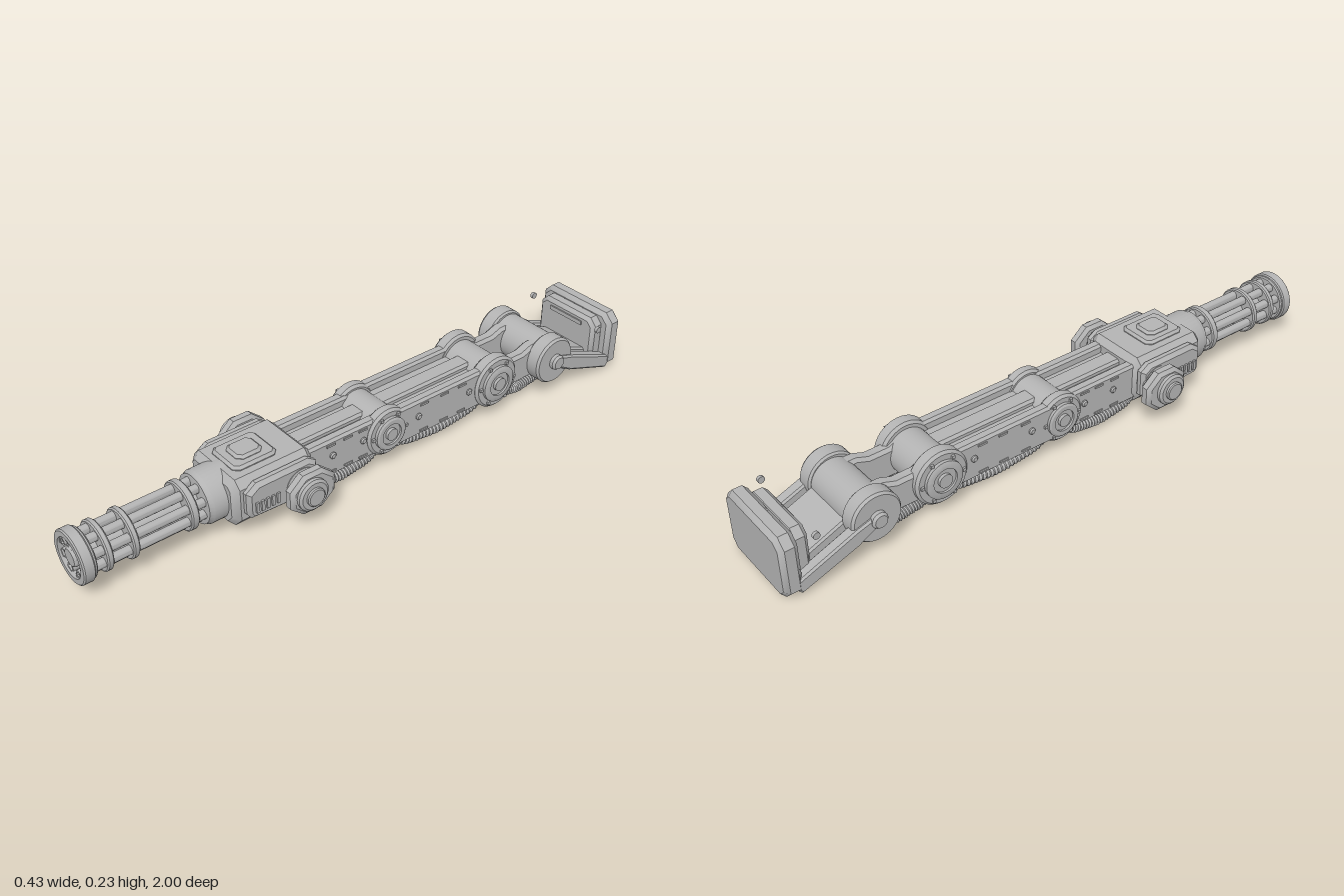
import * as THREE from 'three';
import { toCreasedNormals } from 'three/addons/utils/BufferGeometryUtils.js';

const AXIS_Y = 0.134; // height of the common centre line

export function createModel() {
  const root = new THREE.Group();
  const metal = new THREE.MeshStandardMaterial({ color: 0xb3b3b3 });
  metal.name = 'grey metal';

  const add = (name, geo, x = 0, y = 0, z = 0) => {
    const m = new THREE.Mesh(toCreasedNormals(geo, 0.55), metal);
    m.name = name;
    m.position.set(x, y, z);
    root.add(m);
    return m;
  };
  const both = (fn) => [1, -1].forEach(fn);
  const box = (name, w, h, d, x, y, z) => add(name, new THREE.BoxGeometry(w, h, d), x, y, z);
  const lathe = (pts, n) => new THREE.LatheGeometry(pts.map(([r, a]) => new THREE.Vector2(r, a)), n);
  // Turned part along z; profile is [radius, z]
  const turnZ = (name, pts, x, y, z, n = 32) => add(name, lathe(pts, n).rotateX(Math.PI / 2), x, y, z);
  // Turned part along x, pointing outward on side s; profile is [radius, x]
  const turnX = (name, pts, s, y, z, n = 32) => add(name, lathe(pts, n).rotateZ(-s * Math.PI / 2), 0, y, z);
  const poly = (pts) => new THREE.Shape(pts.map(([x, y]) => new THREE.Vector2(x, y)));
  // Outline in x, y extruded from z0 to z1 with bevelled ends
  const prism = (name, pts, z0, z1, b = 0.012) => add(name, new THREE.ExtrudeGeometry(poly(pts), {
    depth: z1 - z0 - 2 * b, bevelEnabled: b > 0, bevelThickness: b, bevelSize: b, bevelOffset: -b, bevelSegments: 1,
  }), 0, 0, z0 + b);
  // Outline in -z, y extruded across x0..x1
  const sidePlate = (name, pts, x0, x1, b = 0.006) => add(name, new THREE.ExtrudeGeometry(poly(pts), {
    depth: x1 - x0 - 2 * b, bevelEnabled: true, bevelThickness: b, bevelSize: b, bevelOffset: -b, bevelSegments: 1,
  }).rotateY(Math.PI / 2), x0 + b, 0, 0);
  // Rectangle with cut corners
  const cut = (w, y0, y1, c) => [[-w + c, y0], [w - c, y0], [w, y0 + c], [w, y1 - c],
    [w - c, y1], [-w + c, y1], [-w, y1 - c], [-w, y0 + c]];

  // Rotary barrels
  for (let i = 0; i < 8; i++) {
    const a = (i + 0.5) * Math.PI / 4;
    turnZ('barrel', [[0, 0.53], [0.0145, 0.53], [0.0145, 0.99], [0.009, 0.99], [0.009, 0.96], [0, 0.96]],
      Math.cos(a) * 0.055, AXIS_Y + Math.sin(a) * 0.055, 0, 12);
    const clip = box('muzzleClip', 0.014, 0.022, 0.012, Math.cos(a) * 0.064, AXIS_Y + Math.sin(a) * 0.064, 0.987);
    clip.rotation.z = a;
  }
  turnZ('barrelCore', [[0, 0.53], [0.03, 0.53], [0.03, 0.992], [0.026, 0.998], [0, 0.998]], 0, AXIS_Y, 0);
  const hoop = (name, z0, z1, ri, ro) => turnZ(name,
    [[ri, z0], [ro - 0.004, z0], [ro, z0 + 0.004], [ro, z1 - 0.004], [ro - 0.004, z1], [ri, z1], [ri, z0]], 0, AXIS_Y, 0, 40);
  hoop('muzzleRing', 0.964, 1, 0.062, 0.083);
  hoop('muzzleSpacer', 0.955, 0.968, 0, 0.078);
  [[0.905, 0.925], [0.825, 0.845], [0.635, 0.66]].forEach(([a, b]) => hoop('barrelClamp', a, b, 0, 0.077));
  turnZ('barrelMount', [[0, 0.5], [0.084, 0.5], [0.084, 0.59], [0.078, 0.6], [0.078, 0.605], [0.06, 0.608], [0, 0.608]], 0, AXIS_Y, 0, 40);

  // Gun housing
  prism('housing', [[-0.08, 0.048], [0.08, 0.048], [0.114, 0.085], [0.114, 0.19], [0.09, 0.215],
    [-0.09, 0.215], [-0.114, 0.19], [-0.114, 0.085]], 0.265, 0.545, 0.02);
  const hatch = (name, w, d, y0, y1) => {
    const b = 0.008;
    const g = new THREE.ExtrudeGeometry(poly(cut(w, -d, d, 0.016)), {
      depth: y1 - y0 - b, bevelEnabled: true, bevelThickness: b, bevelSize: b, bevelOffset: -b, bevelSegments: 1 });
    add(name, g.rotateX(-Math.PI / 2), 0, y0, 0.43);
  };
  hatch('topHatch', 0.066, 0.075, 0.21, 0.226);
  hatch('hatchLid', 0.04, 0.045, 0.222, 0.236);
  both((s) => {
    const x0 = s > 0 ? 0.1 : -0.138;
    sidePlate('sidePod', [[-0.5, 0.09], [-0.3, 0.08], [-0.27, 0.1], [-0.27, 0.185], [-0.3, 0.205], [-0.48, 0.205], [-0.515, 0.18], [-0.515, 0.11]], x0, x0 + 0.038, 0.012);
    for (let i = 0; i < 5; i++) box('ventFin', 0.008, 0.034, 0.01, s * 0.14, 0.13, 0.415 + i * 0.018);
    // Side drum
    turnX('drumAxle', [[0, 0.09], [0.055, 0.09], [0.055, 0.14], [0.035, 0.145], [0.035, 0.16], [0, 0.16]], s, AXIS_Y, 0.33);
    const drum = turnX('sideDrum', [[0, 0.15], [0.062, 0.15], [0.074, 0.16], [0.074, 0.18], [0.062, 0.19], [0, 0.19]], s, AXIS_Y - 0.002, 0.325, 8);
    drum.geometry.rotateX(Math.PI / 8);
    drum.scale.z = 1.15;
    turnX('drumCap', [[0, 0.185], [0.052, 0.185], [0.052, 0.2], [0.044, 0.206], [0.03, 0.206], [0.03, 0.213], [0.026, 0.216], [0, 0.216]], s, AXIS_Y, 0.335);
  });

  // Arm segments: side walls, recessed deck, centre rib and small fittings
  const segment = (name, z0, z1, w) => {
    const zc = (z0 + z1) / 2, d = z1 - z0;
    prism(name + 'Core', cut(w - 0.01, 0.075, 0.168, 0.012), z0, z1, 0.004);
    prism(name + 'Rib', cut(0.032, 0.15, 0.186, 0.008), z0, z1, 0.004);
    both((s) => {
      sidePlate(name + 'Wall', [[-z1, 0.068], [-z0, 0.068], [-z0, 0.196], [-z1, 0.196]],
        s > 0 ? w - 0.038 : -w, s > 0 ? w : -w + 0.038, 0.008);
      [0.18, 0.086].forEach((y) => [-0.18, 0, 0.2].forEach((k) => box('wallSlot', 0.006, 0.006, 0.032, s * w, y, zc + k * d)));
      [z0 + 0.1, z1 - 0.1].forEach((z) => turnX('wallBolt',
        [[0, w - 0.01], [0.011, w - 0.01], [0.011, w + 0.004], [0.007, w + 0.008], [0, w + 0.008]], s, 0.143, z, 12));
    });
  };
  segment('foreArm', -0.03, 0.285, 0.094);
  segment('upperArm', -0.45, -0.04, 0.104);

  // Joints: centre drum plus stepped outer discs
  const joint = (name, z, r, core, inner, outer) => {
    turnX(name + 'Drum', [[0, -inner], [core, -inner], [core, inner], [0, inner]], 1, AXIS_Y, z, 40);
    both((s) => {
      turnX(name + 'Disc', [[0, inner - 0.005], [r - 0.008, inner - 0.005], [r, inner + 0.003], [r, outer - 0.022], [r - 0.008, outer - 0.014],
        [r * 0.7, outer - 0.014], [r * 0.7, outer - 0.004], [r * 0.62, outer], [r * 0.45, outer], [r * 0.45, outer - 0.007],
        [r * 0.25, outer - 0.007], [r * 0.25, outer + 0.003], [0, outer + 0.003]], s, AXIS_Y, z, 40);
      for (let i = 0; i < 6; i++) {
        const a = i * Math.PI / 3;
        box('discBolt', 0.012, 0.01, 0.01, s * (outer - 0.013), AXIS_Y + Math.sin(a) * r * 0.8, z + Math.cos(a) * r * 0.8);
      }
    });
  };
  joint('elbow', -0.025, 0.08, 0.066, 0.068, 0.117);
  joint('shoulder', -0.465, 0.089, 0.07, 0.07, 0.127);

  // Rear fork and hinge
  both((s) => {
    sidePlate('forkArm', [[0.45, 0.07], [0.7, 0.075], [0.7, 0.19], [0.64, 0.19], [0.6, 0.175], [0.53, 0.175], [0.49, 0.196], [0.45, 0.196]],
      s > 0 ? 0.047 : -0.093, s > 0 ? 0.093 : -0.047, 0.01);
    turnX('hingeDisc', [[0, 0.085], [0.074, 0.085], [0.08, 0.091], [0.08, 0.134], [0.074, 0.142], [0, 0.142]], s, AXIS_Y, -0.7, 40);
    turnX('hingeKnob', [[0, 0.14], [0.026, 0.14], [0.026, 0.154], [0.02, 0.162], [0, 0.162]], s, AXIS_Y, -0.7, 16);
    // Sloping strut to the mounting plate
    sidePlate('rearStrut', [[0.69, 0.118], [0.77, 0.075], [0.95, 0.012], [0.965, 0.03], [0.96, 0.058], [0.77, 0.132], [0.71, 0.15]],
      s > 0 ? 0.112 : -0.152, s > 0 ? 0.152 : -0.112, 0.006);
    turnX('platePin', [[0, 0.143], [0.011, 0.143], [0.011, 0.153], [0, 0.153]], s, 0.183, -0.89, 12);
  });
  turnX('hingeBarrel', [[0, -0.09], [0.068, -0.09], [0.068, 0.09], [0, 0.09]], 1, AXIS_Y, -0.705, 40);
  sidePlate('rearWeb', [[0.7, 0.085], [0.78, 0.065], [0.94, 0.018], [0.94, 0.065], [0.78, 0.13], [0.72, 0.15]], -0.092, 0.092);

  // Mounting plate
  prism('mountingPlate', cut(0.153, 0.002, 0.212, 0.03), -1, -0.942, 0.014);
  prism('plateBacking', cut(0.122, 0.025, 0.198, 0.025), -0.95, -0.898, 0.012);
  box('backingSlot', 0.14, 0.014, 0.008, 0, 0.17, -0.897);

  // Ribbed hoses sagging below the joints
  const hose = (x, z0, z1, low) => {
    const d = z1 - z0, seg = 56, sides = 10;
    const curve = new THREE.CatmullRomCurve3([[0, 0.085], [0.12, 0.055], [0.32, low + 0.006], [0.5, low], [0.68, low + 0.006], [0.88, 0.055], [1, 0.085]]
      .map(([t, y]) => new THREE.Vector3(x, y, z0 + t * d)));
    const g = new THREE.TubeGeometry(curve, seg, 0.018, sides);
    const p = g.attributes.position, v = new THREE.Vector3();
    for (let i = 0; i <= seg; i++) {
      const c = curve.getPointAt(i / seg);
      for (let j = 0; j <= sides; j++) {
        const k = i * (sides + 1) + j;
        v.fromBufferAttribute(p, k).sub(c).multiplyScalar(i % 2 ? 1 : 0.8).add(c);
        p.setXYZ(k, v.x, v.y, v.z);
      }
    }
    add('hose', g);
  };
  both((s) => {
    hose(s * 0.073, 0.0, 0.29, 0.037);
    hose(s * 0.073, -0.44, -0.06, 0.037);
    hose(s * 0.073, -0.71, -0.49, 0.041);
  });
  return root;
}
